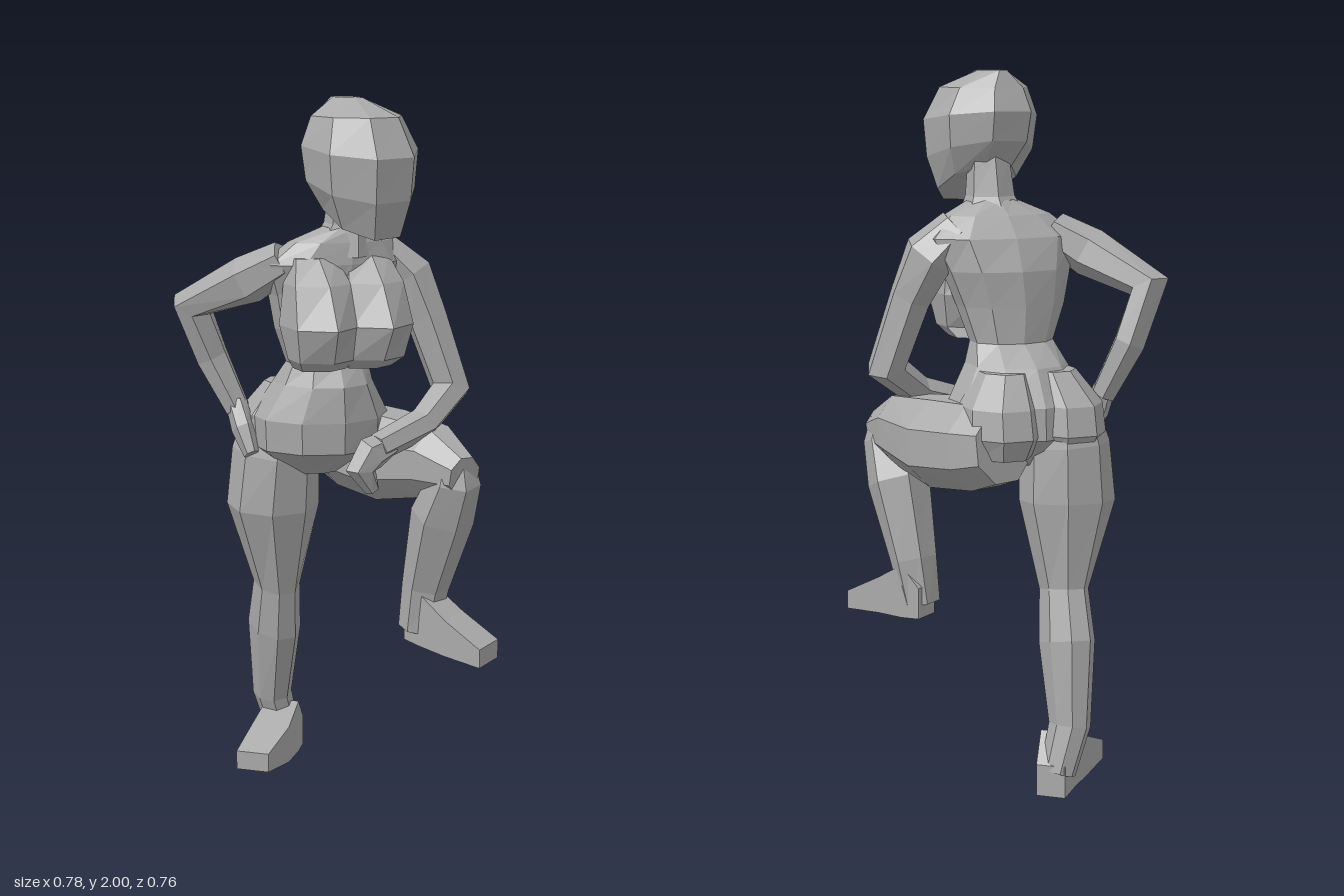
import * as THREE from 'three';

const V = (a) => new THREE.Vector3(...a);

// Lofts a closed low-poly tube through rings [x, y, z, halfWidth, halfDepth, (nx, ny, nz)].
// The width runs along `across`; ring normals follow the path unless given.
function loft(rings, sides, across, normal) {
  const pos = [], idx = [], n = rings.length;
  const centres = rings.map((r) => V(r.slice(0, 3)));
  let maxC = 0, maxS = 0;
  const angles = [];
  for (let j = 0; j < sides; j++) {
    const t = ((j + 0.5) / sides) * Math.PI * 2;
    angles.push(t);
    maxC = Math.max(maxC, Math.cos(t));
    maxS = Math.max(maxS, Math.sin(t));
  }
  rings.forEach((r, i) => {
    let dir;
    if (r.length > 5) dir = V(r.slice(5));
    else if (normal) dir = V(normal);
    else {
      dir = new THREE.Vector3();
      if (i > 0) dir.add(centres[i].clone().sub(centres[i - 1]).normalize());
      if (i < n - 1) dir.add(centres[i + 1].clone().sub(centres[i]).normalize());
    }
    dir.normalize();
    const u = V(across);
    u.addScaledVector(dir, -u.dot(dir)).normalize();
    const v = dir.clone().cross(u);
    for (const t of angles) {
      const p = centres[i].clone()
        .addScaledVector(u, (r[3] * Math.cos(t)) / maxC)
        .addScaledVector(v, (r[4] * Math.sin(t)) / maxS);
      pos.push(p.x, p.y, p.z);
    }
  });
  for (let i = 0; i < n - 1; i++) {
    for (let j = 0; j < sides; j++) {
      const k = (j + 1) % sides;
      const a = i * sides + j, b = i * sides + k, c = b + sides, d = a + sides;
      idx.push(a, b, c, a, c, d);
    }
  }
  // End caps
  const last = (n - 1) * sides;
  for (let j = 1; j < sides - 1; j++) {
    idx.push(0, j + 1, j, last, last + j, last + j + 1);
  }
  const g = new THREE.BufferGeometry();
  g.setAttribute('position', new THREE.Float32BufferAttribute(pos, 3));
  g.setIndex(idx);
  const flat = g.toNonIndexed();
  flat.computeVertexNormals();
  return flat;
}

export function createModel() {
  const group = new THREE.Group();
  group.name = 'posedFigure';
  const clay = new THREE.MeshStandardMaterial({ color: 0xaaaaaa, flatShading: true });
  clay.name = 'grey clay';
  const add = (name, rings, sides, across, normal) => {
    const m = new THREE.Mesh(loft(rings, sides, across, normal), clay);
    m.name = name;
    group.add(m);
  };
  const X = [1, 0, 0], UP = [0, 1, 0];

  // Head, turned slightly to its left and tipped forward
  add('head', [
    [0.037, 1.68, 0.13, 0.1, 0.13, 0, 0.9, 0.43],
    [0.03, 1.765, 0.125, 0.135, 0.165, 0, 0.97, 0.24],
    [0.028, 1.865, 0.125, 0.145, 0.175, 0, 0.99, 0.12],
    [0.022, 1.95, 0.115, 0.112, 0.135, 0, 1, 0],
    [0.018, 1.998, 0.06, 0.03, 0.06, 0, 1, 0],
  ], 8, [0.98, 0, -0.17]);
  add('neck', [
    [0.03, 1.56, 0.015, 0.1, 0.1],
    [0.035, 1.65, 0.035, 0.062, 0.065],
    [0.035, 1.76, 0.045, 0.052, 0.05],
  ], 6, X, UP);

  // Torso from crotch to collar
  add('torso', [
    [-0.01, 0.92, -0.13, 0.08, 0.09],
    [0, 1.0, -0.1, 0.185, 0.19],
    [0, 1.09, -0.095, 0.19, 0.19],
    [0, 1.19, -0.07, 0.135, 0.155],
    [0.005, 1.25, -0.05, 0.115, 0.095],
    [0, 1.35, -0.03, 0.15, 0.115],
    [0.01, 1.45, -0.025, 0.18, 0.12],
    [0.015, 1.54, -0.005, 0.215, 0.11],
    [0.022, 1.6, 0.015, 0.15, 0.085],
    [0.03, 1.64, 0.03, 0.065, 0.06],
  ], 10, X, UP);
  for (const s of [-1, 1]) {
    const side = s < 0 ? 'right' : 'left';
    add(side + 'Breast', [
      [0.07 * s, 1.25, 0.07, 0.065, 0.07],
      [0.075 * s, 1.28, 0.1, 0.083, 0.09],
      [0.083 * s, 1.375, 0.1, 0.092, 0.135],
      [0.08 * s, 1.49, 0.08, 0.083, 0.09],
      [0.08 * s, 1.56, 0.05, 0.06, 0.045],
    ], 6, X, UP);
    add(side + 'Buttock', [
      [0.095 * s, 0.95, -0.18, 0.08, 0.11],
      [0.095 * s, 1.01, -0.19, 0.105, 0.13],
      [0.095 * s, 1.09, -0.18, 0.1, 0.125],
      [0.07 * s, 1.18, -0.15, 0.065, 0.08],
    ], 8, X, UP);
  }

  // Left arm, folded across the raised thigh
  add('leftArm', [
    [0.15, 1.57, -0.005, 0.06, 0.045],
    [0.225, 1.49, 0.02, 0.075, 0.068],
    [0.268, 1.37, 0.058, 0.058, 0.058],
    [0.325, 1.17, 0.1, 0.053, 0.06],
    [0.21, 1.085, 0.155, 0.046, 0.046],
    [0.05, 1.038, 0.2, 0.035, 0.04],
  ], 6, [0.2, 0.3, 1]);
  add('leftHand', [
    [0.09, 1.045, 0.19, 0.033, 0.04],
    [0.03, 1.025, 0.205, 0.034, 0.052],
    [-0.002, 0.98, 0.205, 0.032, 0.045],
    [0.035, 0.92, 0.2, 0.022, 0.022],
  ], 6, [0, 0, 1]);

  // Right arm, elbow back and hand on the hip
  add('rightArm', [
    [-0.14, 1.55, -0.01, 0.065, 0.055],
    [-0.225, 1.49, -0.075, 0.068, 0.07],
    [-0.335, 1.405, -0.235, 0.055, 0.06],
    [-0.275, 1.25, -0.235, 0.05, 0.046],
    [-0.215, 1.1, -0.19, 0.036, 0.036],
  ], 6, [-0.7, -0.2, 0.65]);
  add('rightHand', [
    [-0.22, 1.12, -0.19, 0.027, 0.035],
    [-0.215, 1.05, -0.15, 0.027, 0.045],
    [-0.205, 0.98, -0.11, 0.018, 0.03],
  ], 6, X);

  // Standing right leg
  add('rightLeg', [
    [-0.095, 1.03, -0.18, 0.1, 0.12],
    [-0.1, 0.97, -0.185, 0.115, 0.13],
    [-0.105, 0.81, -0.195, 0.125, 0.125],
    [-0.085, 0.56, -0.22, 0.06, 0.085],
    [-0.075, 0.42, -0.265, 0.068, 0.1],
    [-0.065, 0.19, -0.31, 0.052, 0.067],
    [-0.025, 0.06, -0.32, 0.045, 0.055],
  ], 8, X);
  add('rightFoot', [
    [0.01, 0.045, -0.35, 0.042, 0.045],
    [-0.04, 0.085, -0.285, 0.05, 0.08],
    [-0.115, 0.065, -0.2, 0.058, 0.055],
    [-0.205, 0.045, -0.12, 0.05, 0.028],
  ], 4, [0.76, 0, 0.65], [-0.65, 0, 0.76]);

  // Raised left leg
  add('leftThigh', [
    [0.105, 0.985, -0.24, 0.1, 0.1],
    [0.135, 0.975, -0.16, 0.125, 0.12],
    [0.19, 0.965, -0.01, 0.138, 0.125],
    [0.25, 0.975, 0.17, 0.088, 0.1],
    [0.275, 0.955, 0.295, 0.05, 0.055],
  ], 8, [0.92, 0, -0.4]);
  add('leftShin', [
    [0.27, 1.0, 0.25, 0.045, 0.045],
    [0.27, 0.935, 0.245, 0.065, 0.075],
    [0.26, 0.82, 0.19, 0.08, 0.09],
    [0.24, 0.6, 0.125, 0.06, 0.065],
    [0.225, 0.47, 0.11, 0.05, 0.06],
  ], 6, X);
  add('leftFoot', [
    [0.22, 0.482, 0.072, 0.042, 0.045],
    [0.245, 0.51, 0.13, 0.052, 0.078],
    [0.28, 0.48, 0.23, 0.058, 0.053],
    [0.335, 0.445, 0.343, 0.06, 0.027],
  ], 4, [0.8, 0, -0.6], [0.6, 0, 0.8]);

  return group;
}
